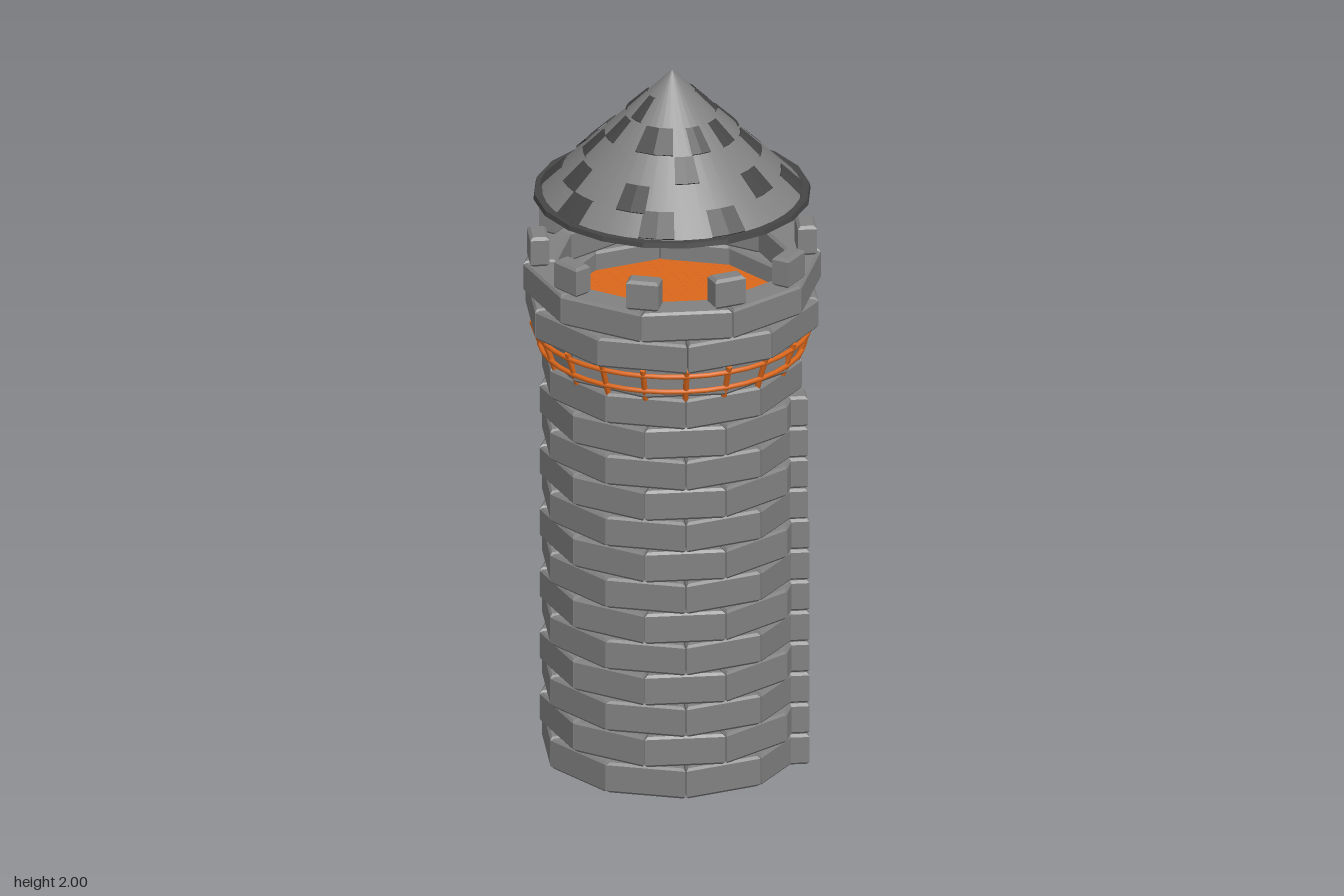
import * as THREE from 'three';

const RAD = Math.PI / 180;
const stone = new THREE.MeshStandardMaterial({ color: 0x828282 });
const slate = new THREE.MeshStandardMaterial({ color: 0x464646, flatShading: true, side: THREE.DoubleSide });
const wood = new THREE.MeshStandardMaterial({ color: 0xdc681c });

const ROW = 0.0908; // height of one course
const STEP = 36; // ten bricks to a ring
const WINDOWS = [90, 180]; // window directions, degrees from the front

function add(parent, name, geometry, material) {
  const mesh = new THREE.Mesh(geometry, material);
  mesh.name = name;
  parent.add(mesh);
  return mesh;
}

// Bevelled block: plan outline as [x, z] corners, raised from y0 to y1
function block(corners, y0, y1, bevel = 0.007) {
  const shape = new THREE.Shape(corners.map(([x, z]) => new THREE.Vector2(x, -z)));
  return new THREE.ExtrudeGeometry(shape, {
    depth: y1 - y0 - 2 * bevel, bevelEnabled: true, bevelSegments: 1,
    bevelSize: bevel, bevelThickness: bevel, bevelOffset: -bevel,
  }).rotateX(-Math.PI / 2).translate(0, y0 + bevel, 0);
}

// Rectangular block facing +z, spanning x0..x1 and z0..z1
function boxBlock(x0, x1, z0, z1, y0, y1, bevel) {
  return block([[x0, z0], [x1, z0], [x1, z1], [x0, z1]], y0, y1, bevel);
}

// Flat-faced brick lying on one side of a ten-sided ring, between angles a and b
function ringBrick(mid, a, b, inner, outer, y0, y1) {
  const at = (r, deg) => {
    const d = r * Math.cos(STEP / 2 * RAD) / Math.cos((deg - mid) * RAD);
    return [d * Math.sin(deg * RAD), d * Math.cos(deg * RAD)];
  };
  a += 0.25;
  b -= 0.25;
  return block([at(outer, a), at(outer, b), at(inner, b), at(inner, a)], y0, y1);
}

// One course of bricks; odd courses are turned by half a brick
function course(parent, name, odd, inner, outer, y0, y1, windows = []) {
  const ring = new THREE.Group();
  ring.name = name;
  for (let i = 0; i < 10; i++) {
    const mid = i * STEP + (odd ? 0 : STEP / 2);
    let a = mid - STEP / 2, b = mid + STEP / 2, open = false;
    for (const w of windows) {
      if (Math.abs(mid - w) < 1) open = true;
      else if (Math.abs(mid - w) < STEP) {
        if (mid < w) b = w - STEP / 2;
        else a = w + STEP / 2;
      }
    }
    if (!open) add(ring, 'brick', ringBrick(mid, a, b, inner, outer, y0, y1), stone);
  }
  parent.add(ring);
}

export function createModel() {
  const tower = new THREE.Group();
  tower.name = 'tower';

  // Tower wall with two window openings
  for (let i = 0; i < 14; i++) {
    const y0 = i * ROW + 0.001, y1 = (i + 1) * ROW - 0.001;
    const atWindow = i >= 8 && i <= 11;
    course(tower, 'wallCourse', i % 2 === 1, 0.275, 0.36, y0, y1, atWindow ? WINDOWS : []);

    // Straight stacked bricks under the windows, and jambs beside them
    if (i < 8) {
      add(tower, 'sideFacingBrick', boxBlock(-0.16, 0.11, 0.3, 0.357, y0, y1), stone).rotation.y = 90 * RAD;
      add(tower, 'backFacingBrick', boxBlock(-0.11, 0.11, 0.3, 0.359, y0, y1), stone).rotation.y = 180 * RAD;
    } else if (atWindow) {
      for (const w of WINDOWS) {
        for (const x of [-0.132, 0.132]) {
          add(tower, 'jambBrick', boxBlock(x - 0.032, x + 0.032, 0.265, 0.352, y0, y1), stone).rotation.y = w * RAD;
        }
      }
    }
  }

  // Wider parapet courses
  course(tower, 'parapetLower', false, 0.31, 0.405, 1.274, 1.36);
  course(tower, 'parapetUpper', true, 0.315, 0.405, 1.364, 1.45);

  // Battlements
  for (let i = 0; i < 10; i++) {
    const merlon = add(tower, 'merlon', boxBlock(-0.045, 0.045, 0.338, 0.39, 1.452, 1.538, 0.008), stone);
    merlon.rotation.y = (18 + i * STEP) * RAD;
  }

  // Floors of narrow planks trimmed to a circle
  for (const [y, r] of [[0.724, 0.285], [1.3, 0.315]]) {
    const floor = new THREE.Group();
    floor.name = 'floor';
    const count = 30, width = 2 * r / count;
    for (let i = 0; i < count; i++) {
      const z = -r + (i + 0.5) * width;
      const plank = new THREE.BoxGeometry(2 * Math.sqrt(r * r - z * z), 0.012, width * 0.97);
      add(floor, 'plank', plank.translate(0, y, z), wood);
    }
    tower.add(floor);
  }

  // Timber bracing under the parapet: sloping struts and two hoops
  const up = new THREE.Vector3(0, 1, 0);
  for (let i = 0; i < 20; i++) {
    const a = i * 18 * RAD;
    const low = new THREE.Vector3(0.345 * Math.sin(a), 1.175, 0.345 * Math.cos(a));
    const high = new THREE.Vector3(0.381 * Math.sin(a), 1.275, 0.381 * Math.cos(a));
    const dir = high.clone().sub(low);
    const strut = add(tower, 'strut', new THREE.CylinderGeometry(0.008, 0.008, dir.length(), 8), wood);
    strut.position.copy(low).lerp(high, 0.5);
    strut.quaternion.setFromUnitVectors(up, dir.normalize());
  }
  for (const [r, y] of [[0.376, 1.256], [0.36, 1.205]]) {
    add(tower, 'hoop', new THREE.TorusGeometry(r, 0.007, 8, 40).rotateX(Math.PI / 2).translate(0, y, 0), wood);
  }

  // Conical roof with a rim
  const roofBase = 1.648, roofRadius = 0.353, slope = (2 - roofBase) / roofRadius;
  add(tower, 'roof', new THREE.ConeGeometry(roofRadius, 2 - roofBase, 40).translate(0, (2 + roofBase) / 2, 0), stone);
  add(tower, 'roofRim', new THREE.CylinderGeometry(0.374, 0.377, 0.014, 20).translate(0, 1.642, 0), slate);
  add(tower, 'roofUnderside', new THREE.CircleGeometry(0.372, 20).rotateX(Math.PI / 2).translate(0, 1.634, 0), stone);

  // Scattered roof tiles: [radius, direction in degrees, angular width]
  const tiles = [
    [0.09, 176, 15], [0.095, 133, 18], [0.09, 84, 20], [0.093, -59, 20], [0.094, -107, 20],
    [0.156, -152, 20], [0.16, 153, 34], [0.152, 100, 16], [0.153, 52, 18], [0.152, 20, 18],
    [0.151, -22, 34], [0.154, -74, 18], [0.212, -122, 18], [0.215, -167, 16], [0.212, 82, 18],
    [0.21, 4, 16], [0.21, -91, 16], [0.275, -136, 16], [0.276, 160, 16], [0.274, 130, 16],
    [0.27, 51, 16], [0.273, -28, 16], [0.273, -74, 16], [0.324, -153, 16], [0.323, 82, 16],
    [0.324, 20, 16], [0.323, -13, 16], [0.327, -59, 16], [0.327, -106, 16],
  ];
  for (const [r, dir, width] of tiles) {
    const onRoof = (radius, lift) => new THREE.Vector2(radius + lift, roofBase + (roofRadius - radius) * slope + lift);
    const low = r + 0.028, high = r - 0.028;
    const profile = [onRoof(low, -0.002), onRoof(low, 0.004), onRoof(high, 0.003), onRoof(high, -0.002)];
    add(tower, 'roofTile', new THREE.LatheGeometry(profile, 2, (dir - width / 2) * RAD, width * RAD), slate);
  }

  return tower;
}
